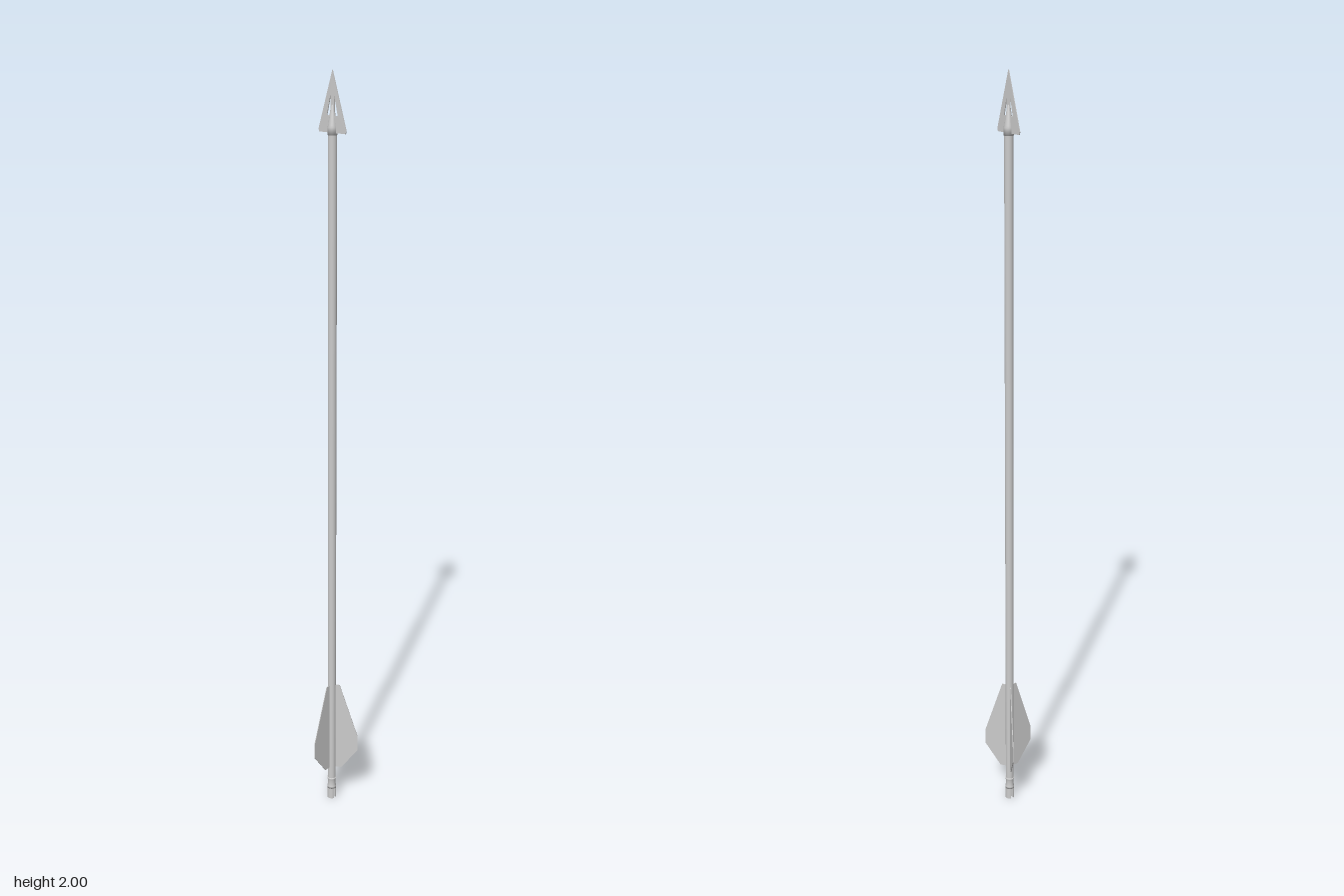
import * as THREE from 'three';

const AXIS_X = 0.017; // the shaft sits off centre because the three vanes are uneven in x
const R = 0.0112;

export function createModel() {
  const model = new THREE.Group();
  model.name = 'arrow';
  const material = new THREE.MeshStandardMaterial({ color: 0xcccccc });

  const add = (name, geometry) => {
    const mesh = new THREE.Mesh(geometry, material);
    mesh.name = name;
    mesh.position.x = AXIS_X;
    model.add(mesh);
    return mesh;
  };
  const points = (list) => list.map(([x, y]) => new THREE.Vector2(x, y));
  // Flat plate, centred on its own thickness
  const plate = (shape, depth) =>
    new THREE.ExtrudeGeometry(shape, { depth, bevelEnabled: false }).translate(0, 0, -depth / 2);

  // Shaft
  add('shaft', new THREE.CylinderGeometry(R, R, 1.80, 24).translate(0, 0.96, 0));

  // Conical ferrule holding the blade
  add('ferrule', new THREE.LatheGeometry(points([
    [0, 1.85], [0.0125, 1.85], [0.0125, 1.868], [0.0105, 1.873], [0.004, 1.918], [0, 1.922],
  ]), 24));

  // Flat broadhead blade with a triangular window on each side
  const blade = new THREE.Shape(points([
    [0, 2], [-0.043, 1.862], [-0.041, 1.855], [0.041, 1.855], [0.043, 1.862],
  ]));
  for (const s of [-1, 1]) {
    blade.holes.push(new THREE.Path(points([
      [s * 0.006, 1.895], [s * 0.017, 1.895], [s * 0.006, 1.942],
    ])));
  }
  add('broadheadBlade', plate(blade, 0.0025).rotateY(Math.PI / 2));

  // Three vanes, 120 degrees apart
  const vane = new THREE.Shape(points([
    [0.008, 0.10], [0.028, 0.10], [0.073, 0.16], [0.073, 0.205], [0.022, 0.362], [0.008, 0.362],
  ]));
  for (let i = 0; i < 3; i++) {
    add('vane', plate(vane, 0.002)).rotation.y = Math.PI / 3 + (i * 2 * Math.PI) / 3;
  }

  // Nock body with its collar
  add('nockBody', new THREE.LatheGeometry(points([
    [0, 0.032], [0.0125, 0.032], [0.0125, 0.038], [0.0105, 0.042], [0.0105, 0.058],
    [0.0125, 0.061], [0.0125, 0.066], [0, 0.066],
  ]), 24));

  // Two nock prongs, leaving the string slot open along z
  const slot = 0.004;
  const a = Math.acos(slot / 0.0122);
  const prong = new THREE.Shape().absarc(0, 0, 0.0122, -a, a, false);
  prong.closePath();
  for (const turn of [0, Math.PI]) {
    const geometry = new THREE.ExtrudeGeometry(prong, { depth: 0.034, bevelEnabled: false, curveSegments: 12 });
    add('nockProng', geometry.rotateX(-Math.PI / 2)).rotation.y = turn;
  }
  return model;
}
